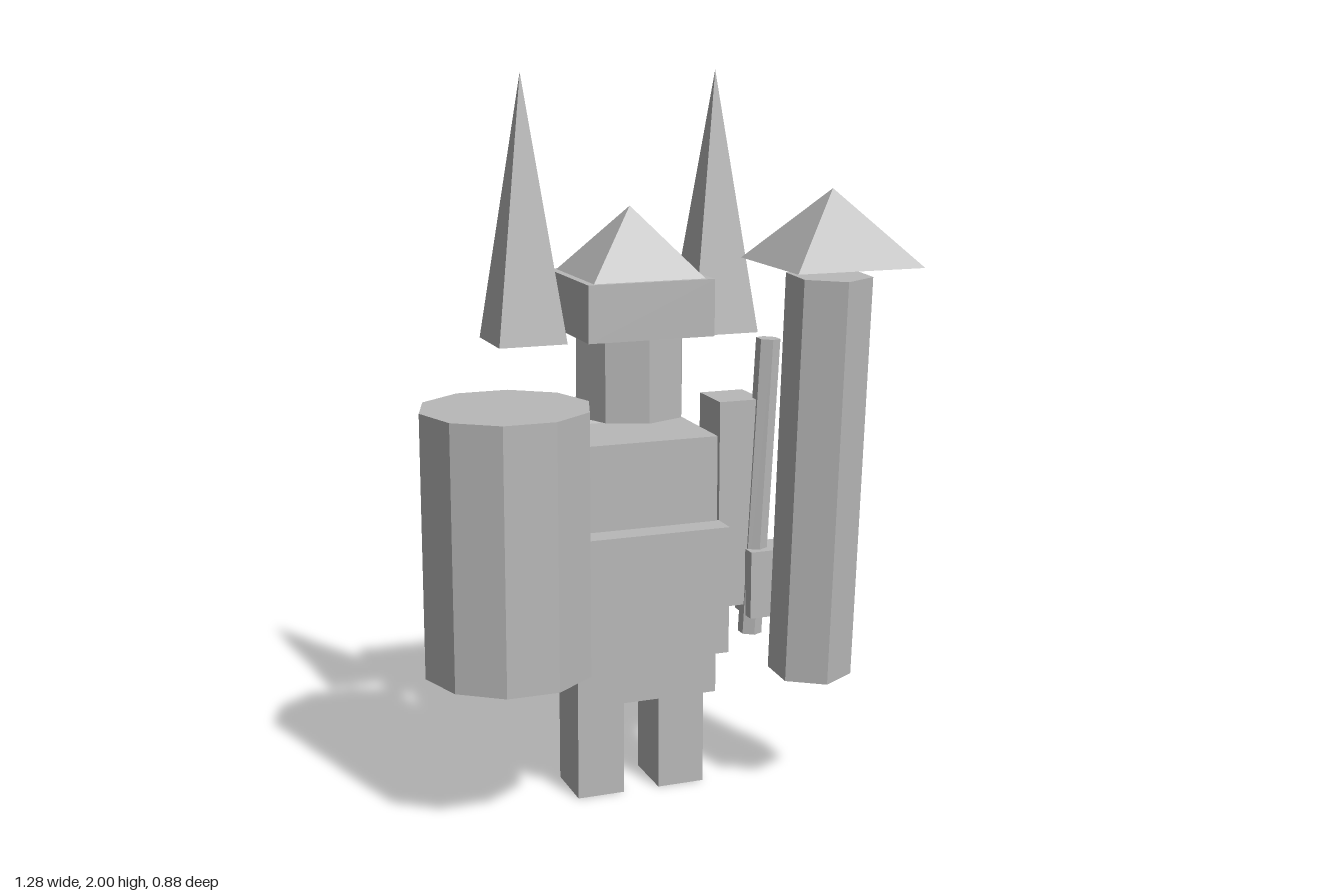
import * as THREE from 'three';

export function createModel() {
  const group = new THREE.Group();
  const stone = new THREE.MeshStandardMaterial({ color: 0xb8b8b8, flatShading: true });
  stone.name = 'stone grey';

  const add = (name, geometry) => {
    const mesh = new THREE.Mesh(geometry, stone);
    mesh.name = name;
    group.add(mesh);
    return mesh;
  };

  // Box given by its lower and upper limits on each axis
  const box = (name, [x0, x1], [y0, y1], [z0, z1]) =>
    add(name, new THREE.BoxGeometry(x1 - x0, y1 - y0, z1 - z0))
      .position.set((x0 + x1) / 2, (y0 + y1) / 2, (z0 + z1) / 2);

  // Square pyramid with sides parallel to the axes
  const pyramid = (name, x, z, half, y0, y1) =>
    add(name, new THREE.ConeGeometry(half * Math.SQRT2, y1 - y0, 4).rotateY(Math.PI / 4))
      .position.set(x, (y0 + y1) / 2, z);

  // Prism running between two points
  const prism = (name, from, to, radius, sides, turn = 0) => {
    const a = new THREE.Vector3(...from), b = new THREE.Vector3(...to);
    const axis = b.clone().sub(a);
    const mesh = add(name, new THREE.CylinderGeometry(radius, radius, axis.length(), sides).rotateY(turn));
    mesh.quaternion.setFromUnitVectors(new THREE.Vector3(0, 1, 0), axis.normalize());
    mesh.position.copy(a).add(b).multiplyScalar(0.5);
  };

  // Body
  box('torso', [-0.21, 0.2], [0.28, 1.02], [-0.165, 0.105]);
  box('chestPlate', [-0.197, 0.207], [0.42, 0.78], [0.1, 0.18]);

  // Limbs
  for (const side of [-1, 1]) {
    const label = side > 0 ? 'left' : 'right';
    const legX = -0.01 + side * 0.12, armX = -0.007 + side * 0.305;
    box(label + 'Leg', [legX - 0.068, legX + 0.068], [0, 0.28], [-0.095, 0.07]);
    box(label + 'Arm', [armX - 0.065, armX + 0.065], [0.505, 1.1], [-0.105, 0.042]);
    pyramid(label + 'Horn', -0.008 + side * 0.28, -0.108, 0.096, 1.28, 2);
  }
  box('leftHand', [0.315, 0.443], [0.475, 0.67], [-0.024, 0.085]);

  // Head and helmet
  prism('head', [-0.008, 1.075, -0.03], [-0.008, 1.305, -0.03], 0.155, 8);
  box('helmetBand', [-0.185, 0.173], [1.305, 1.46], [-0.207, 0.14]);
  pyramid('helmetTop', -0.006, -0.033, 0.158, 1.46, 1.645);

  // Barrel-shaped shield on the right
  prism('shieldDrum', [-0.411, 0.43, 0.125], [-0.411, 1.15, 0.125], 0.231, 10, Math.PI / 2);

  // Leaning column, its cap and the thin rod in the left hand
  prism('column', [0.44, 0.35, 0.212], [0.453, 1.473, 0.258], 0.116, 6);
  pyramid('columnCap', 0.458, 0.257, 0.182, 1.505, 1.702);
  prism('rod', [0.337, 0.418, 0.03], [0.38, 1.27, 0.033], 0.034, 6);

  // Back pieces
  pyramid('backSpike', -0.008, -0.297, 0.138, 0.77, 1.227);
  box('backPouch', [-0.123, 0.001], [0.413, 0.575], [-0.442, -0.355]);

  return group;
}
